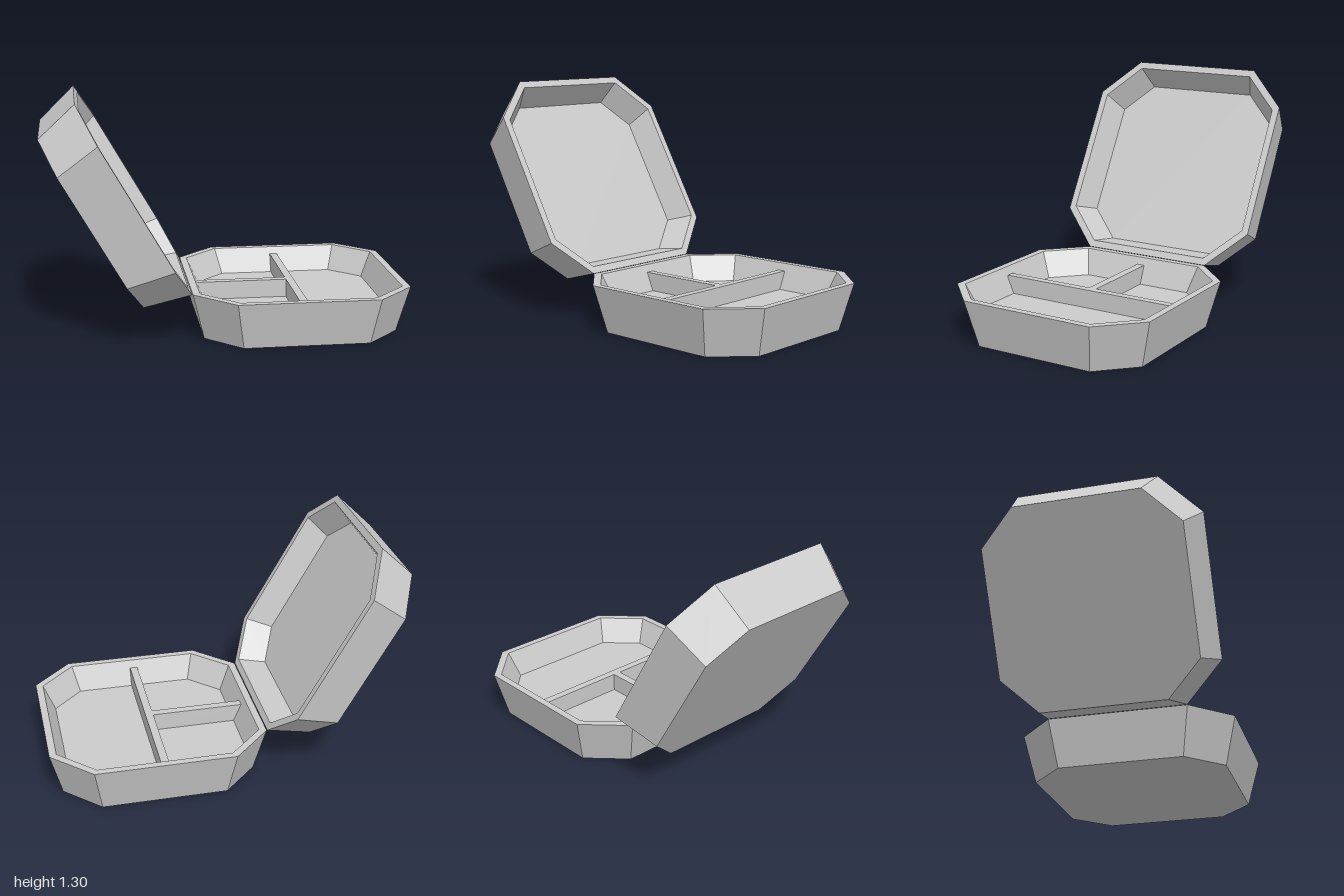
import * as THREE from 'three';

const HEIGHT = 0.262;

// Octagon ring, counter-clockwise from above: half width h, straight sides ending at c
function ring(h, c, y) {
  return [[h, c], [h, -c], [c, -h], [-c, -h], [-h, -c], [-h, c], [-c, h], [c, h]]
    .map(([x, z]) => new THREE.Vector3(x, y, z));
}

// Hollow tray with tapered walls, a flat rim and a raised floor
function trayGeometry() {
  const rings = [
    ring(0.535, 0.344, 0),          // underside
    ring(0.6, 0.385, HEIGHT),       // outer rim
    ring(0.56, 0.367, HEIGHT),      // inner rim
    ring(0.498, 0.33, HEIGHT - 0.142), // floor
  ];
  const points = [];
  for (let r = 0; r < 3; r++) {
    const a = rings[r], b = rings[r + 1];
    for (let i = 0; i < 8; i++) {
      const j = (i + 1) % 8;
      points.push(a[i], a[j], b[j], a[i], b[j], b[i]);
    }
  }
  const bottom = rings[0], floor = rings[3];
  for (let i = 1; i < 7; i++) {
    points.push(floor[0], floor[i], floor[i + 1]);
    points.push(bottom[0], bottom[i + 1], bottom[i]);
  }
  const geometry = new THREE.BufferGeometry().setFromPoints(points);
  geometry.computeVertexNormals();
  return geometry;
}

export function createModel() {
  const model = new THREE.Group();
  model.name = 'hingedBox';
  const material = new THREE.MeshStandardMaterial({ color: 0xcccccc, flatShading: true });
  const tray = trayGeometry();

  const add = (parent, name, geometry, x, y, z) => {
    const mesh = new THREE.Mesh(geometry, material);
    mesh.name = name;
    mesh.position.set(x, y, z);
    parent.add(mesh);
  };

  // Base tray
  add(model, 'base', tray, 0.398, 0, 0);

  // Dividers standing on the base floor
  const floorY = 0.1, topY = 0.222;
  const divider = (name, x0, x1, z0, z1) => add(model, name,
    new THREE.BoxGeometry(x1 - x0, topY - floorY, z1 - z0),
    (x0 + x1) / 2, (topY + floorY) / 2, (z0 + z1) / 2);
  divider('longDivider', 0.371, 0.415, -0.543, 0.535);
  divider('shortDivider', -0.145, 0.371, -0.026, 0.02);

  // Lid: the same tray swung open about the hinge edge
  const lid = new THREE.Group();
  lid.name = 'lidHinge';
  lid.position.set(-0.205, HEIGHT, 0);
  lid.rotation.z = -Math.PI / 3;
  add(lid, 'lid', tray, -0.6, -HEIGHT, 0);
  model.add(lid);

  return model;
}
